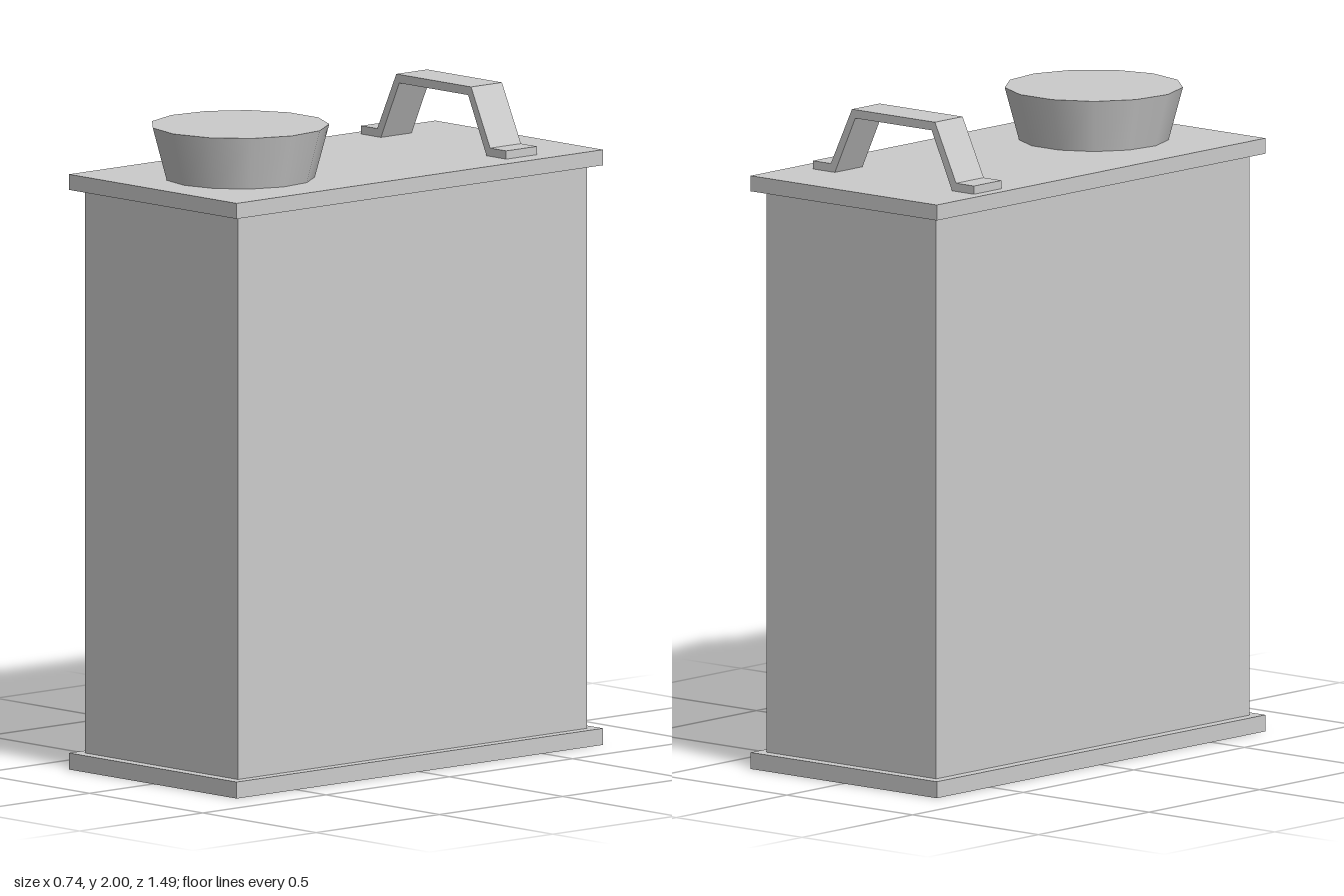
import * as THREE from 'three';

const material = new THREE.MeshStandardMaterial({ color: 0xcccccc });

export function createModel() {
  const group = new THREE.Group();
  group.name = 'canister';

  const add = (name, geometry, x, y, z) => {
    const mesh = new THREE.Mesh(geometry, material);
    mesh.name = name;
    mesh.position.set(x, y, z);
    group.add(mesh);
  };
  const addBox = (name, width, depth, bottom, top) =>
    add(name, new THREE.BoxGeometry(width, top - bottom, depth), 0, (bottom + top) / 2, 0);

  // Tall body between two overhanging plates
  addBox('basePlate', 0.74, 1.486, 0, 0.05);
  addBox('body', 0.674, 1.416, 0.05, 1.753);
  addBox('topPlate', 0.74, 1.486, 1.753, 1.8);

  // Flared thirteen-sided cap near the front
  add('cap', new THREE.CylinderGeometry(0.268, 0.225, 0.16, 13), 0.015, 1.88, 0.405);

  // Strap handle: half of the outline, mirrored, then extruded in depth
  const half = [
    [0.32, 0], [0.32, 0.025], [0.249, 0.025], [0.165, 0.2],
  ];
  const innerHalf = [[0.152, 0.174], [0.233, 0]];
  const mirror = (points) => points.map(([x, y]) => [-x, y]).reverse();
  const outline = [...half, ...mirror(half), ...mirror(innerHalf), ...innerHalf];
  const handleShape = new THREE.Shape(outline.map(([x, y]) => new THREE.Vector2(x, y)));
  const handle = new THREE.ExtrudeGeometry(handleShape, { depth: 0.125, bevelEnabled: false });
  add('handle', handle, -0.015, 1.8, -0.535);

  return group;
}
